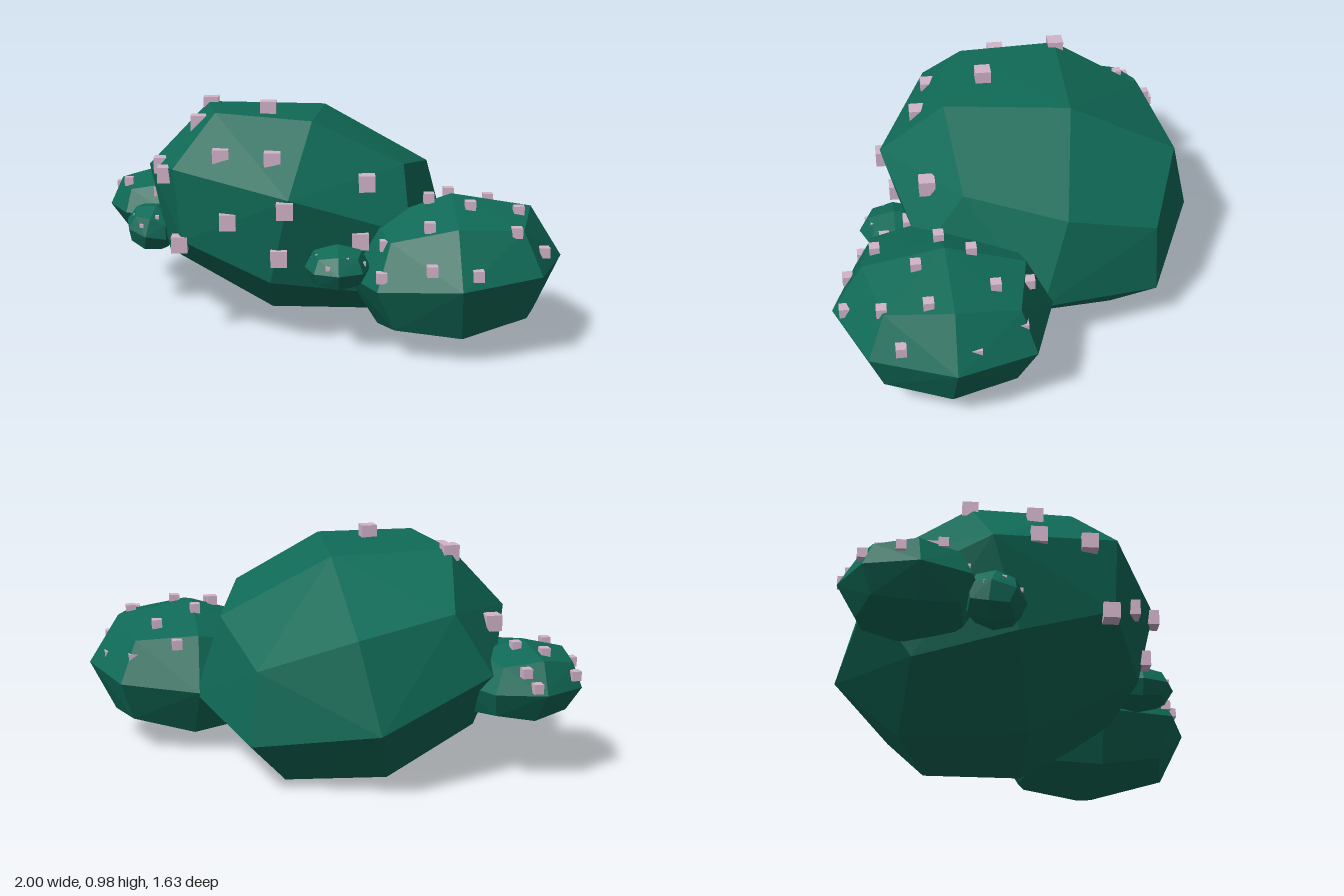
import * as THREE from 'three';
import { ConvexGeometry } from 'three/addons/geometries/ConvexGeometry.js';

const leafMaterial = new THREE.MeshStandardMaterial({ color: 0x106a57, flatShading: true });
const blossomMaterial = new THREE.MeshStandardMaterial({ color: 0xd2b4ca, flatShading: true });

// Faceted 24-sided-quad lump: face centres, edge middles and corners of a cube
// pulled towards a sphere, then stretched along three axis vectors.
function leafClump(name, centre, xAxis, yAxis, zAxis) {
  const reach = [0, 1, 0.73, 0.59];
  const points = [];
  for (let x = -1; x <= 1; x++) {
    for (let y = -1; y <= 1; y++) {
      for (let z = -1; z <= 1; z++) {
        const n = Math.abs(x) + Math.abs(y) + Math.abs(z);
        if (n) points.push(new THREE.Vector3(x, y, z).multiplyScalar(reach[n]));
      }
    }
  }
  const v = (a) => new THREE.Vector3(...a);
  const matrix = new THREE.Matrix4().makeBasis(v(xAxis), v(yAxis), v(zAxis)).setPosition(...centre);
  const geometry = new ConvexGeometry(points.map((p) => p.applyMatrix4(matrix)));
  const mesh = new THREE.Mesh(geometry, leafMaterial);
  mesh.name = name;
  return mesh;
}

// Small cubes scattered on a clump
function blossoms(name, size, places) {
  const group = new THREE.Group();
  group.name = name;
  const geometry = new THREE.BoxGeometry(size, size, size);
  for (const place of places) {
    const cube = new THREE.Mesh(geometry, blossomMaterial);
    cube.name = 'blossom';
    cube.position.set(...place);
    group.add(cube);
  }
  return group;
}

// Tiny blossoms ringed round the upper half of a small clump
function blossomRing(name, size, [cx, cy, cz], [rx, ry, rz]) {
  const places = [];
  for (let i = 0; i < 8; i++) {
    const a = (i + 0.5) * Math.PI / 4;
    const lift = i % 2 ? 0.65 : 0.3;
    const r = 0.94 * Math.sqrt(1 - lift * lift);
    places.push([cx + rx * r * Math.cos(a), cy + ry * lift * 0.94, cz + rz * r * Math.sin(a)]);
  }
  return blossoms(name, size, places);
}

export function createModel() {
  const bush = new THREE.Group();
  bush.name = 'bush';

  // Leaf clumps: centre, then half-length vectors
  bush.add(
    leafClump('mainClump', [-0.105, 0.475, -0.13],
      [0.675, -0.178, 0.058], [0.12, 0.44, -0.13], [-0.045, 0.178, 0.69]),
    leafClump('leftFrontClump', [0.545, 0.325, 0.348],
      [0.455, 0.035, -0.02], [-0.015, 0.305, -0.015], [-0.015, 0.015, 0.46]),
    leafClump('rightBackClump', [-0.73, 0.408, -0.505],
      [0.27, 0.005, -0.035], [-0.02, 0.172, 0], [0.03, 0, 0.285]),
    leafClump('smallFrontClump', [0.05, 0.368, 0.52],
      [0.135, 0, 0], [0, 0.093, 0], [0, 0, 0.155]),
    leafClump('smallRightClump', [-0.775, 0.362, -0.18],
      [0.115, -0.03, 0.02], [0.02, 0.1, 0.02], [-0.02, -0.02, 0.125])
  );

  bush.add(blossoms('mainBlossoms', 0.068, [
    [-0.5, 0.915, -0.27], [-0.235, 0.95, 0.09], [-0.54, 0.875, 0],
    [-0.43, 0.785, 0.32], [-0.215, 0.785, 0.385], [0.175, 0.685, 0.375],
    [-0.705, 0.69, 0], [-0.67, 0.69, 0.21], [-0.165, 0.61, 0.545],
    [-0.4, 0.535, 0.42], [-0.19, 0.4, 0.495], [0.145, 0.46, 0.45],
    [-0.61, 0.41, 0.3], [-0.64, 0.64, -0.435],
  ]));

  bush.add(blossoms('leftFrontBlossoms', 0.043, [
    [0.64, 0.505, 0], [0.825, 0.44, 0.05], [0.71, 0.565, 0.145],
    [0.53, 0.61, 0.225], [0.915, 0.41, 0.245], [0.435, 0.615, 0.35],
    [0.595, 0.605, 0.455], [0.8, 0.575, 0.42], [0.24, 0.47, 0.57],
    [0.415, 0.555, 0.615], [0.765, 0.53, 0.605], [0.89, 0.43, 0.54],
    [0.22, 0.365, 0.67], [0.415, 0.41, 0.735], [0.595, 0.395, 0.755],
  ]));

  bush.add(blossoms('rightBackBlossoms', 0.04, [
    [-0.72, 0.44, -0.77], [-0.915, 0.46, -0.69], [-0.68, 0.5, -0.745],
    [-0.8, 0.55, -0.63], [-0.7, 0.565, -0.56], [-0.955, 0.48, -0.545],
    [-0.9, 0.53, -0.385], [-0.755, 0.5, -0.295],
  ]));

  bush.add(
    blossomRing('smallFrontBlossoms', 0.017, [0.05, 0.368, 0.52], [0.125, 0.09, 0.145]),
    blossomRing('smallRightBlossoms', 0.017, [-0.775, 0.362, -0.18], [0.11, 0.1, 0.12])
  );
  return bush;
}
